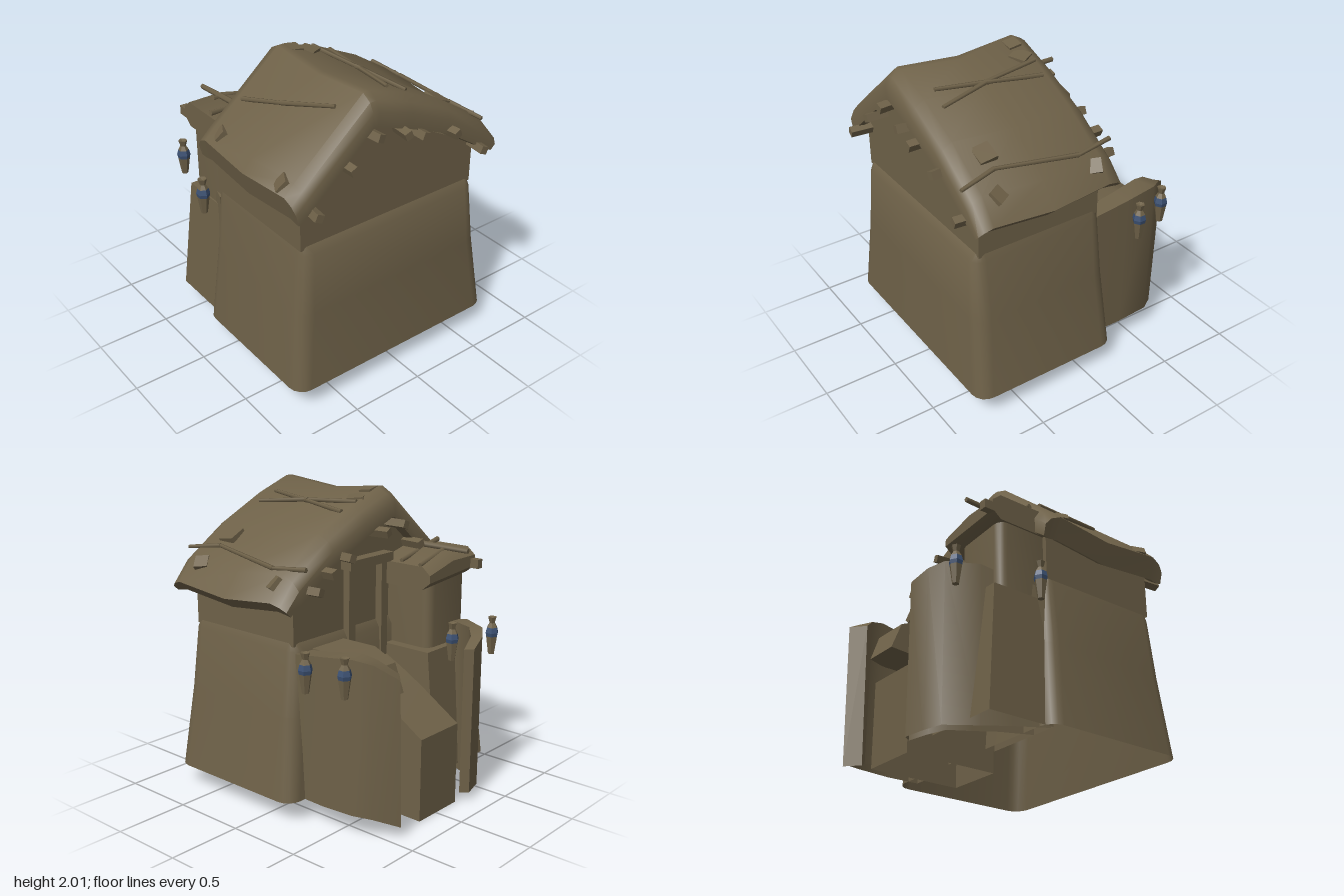
import * as THREE from 'three';
import { toCreasedNormals } from 'three/addons/utils/BufferGeometryUtils.js';

const clay = new THREE.MeshStandardMaterial({ color: 0x6e6148, side: THREE.DoubleSide });
clay.name = 'olive clay';
const blue = new THREE.MeshStandardMaterial({ color: 0x3c5173, side: THREE.DoubleSide });
blue.name = 'blue glaze';

// Skin rings of [x, y, z] points; caps pair each point with its opposite.
// An unclosed ring leaves out the face between its last and first point.
function loft(rings, { capped = true, closed = true, crease = 0.6 } = {}) {
  const n = rings[0].length, idx = [];
  const quad = (a, b, c, d) => idx.push(a, b, c, a, c, d);
  for (let r = 0; r < rings.length - 1; r++) {
    for (let i = 0; i < (closed ? n : n - 1); i++) {
      const j = (i + 1) % n;
      quad(r * n + i, r * n + j, (r + 1) * n + j, (r + 1) * n + i);
    }
  }
  if (capped) {
    const e = (rings.length - 1) * n;
    for (let i = 0; i < n / 2 - 1; i++) {
      quad(n - 1 - i, n - 2 - i, i + 1, i);
      quad(e + i, e + i + 1, e + n - 2 - i, e + n - 1 - i);
    }
  }
  // make the faces point outwards
  const p = rings.flat().map((q) => new THREE.Vector3(...q));
  const mid = p.reduce((s, q) => s.add(q), new THREE.Vector3()).divideScalar(p.length);
  let volume = 0;
  for (let i = 0; i < idx.length; i += 3) {
    const [a, b, c] = [0, 1, 2].map((k) => p[idx[i + k]].clone().sub(mid));
    volume += a.dot(b.cross(c));
  }
  if (volume < 0) idx.reverse();
  const g = new THREE.BufferGeometry().setFromPoints(p);
  g.setIndex(idx);
  return toCreasedNormals(g, crease);
}

function add(parent, name, geometry, material = clay) {
  const m = new THREE.Mesh(geometry, material);
  m.name = name;
  parent.add(m);
  return m;
}

function box(parent, name, x0, x1, y0, y1, z0, z1) {
  const m = add(parent, name, new THREE.BoxGeometry(x1 - x0, y1 - y0, z1 - z0));
  m.position.set((x0 + x1) / 2, (y0 + y1) / 2, (z0 + z1) / 2);
}

// Straight pole between two points.
function pole(parent, name, a, b, r = 0.016) {
  const p = new THREE.Vector3(...a), q = new THREE.Vector3(...b), d = q.clone().sub(p);
  const m = add(parent, name, new THREE.CylinderGeometry(r * 0.8, r, d.length(), 5));
  m.position.copy(p).add(q).multiplyScalar(0.5);
  m.quaternion.setFromUnitVectors(new THREE.Vector3(0, 1, 0), d.normalize());
}

// Horizontal ring of a rounded rectangle.
function roundRect(x0, x1, z0, z1, y, r) {
  const ring = [];
  [[x1 - r, z1 - r], [x0 + r, z1 - r], [x0 + r, z0 + r], [x1 - r, z0 + r]].forEach(([x, z], k) => {
    for (let i = 0; i <= 4; i++) {
      const a = (k + i / 4) * Math.PI / 2;
      ring.push([x + r * Math.cos(a), y, z + r * Math.sin(a)]);
    }
  });
  return ring;
}

// Curved wall, open below: stations of outer [x, z], inner [x, z], bottom, top, flare of the foot.
const wall = (stations) => loft(stations.map(([ox, oz, ix, iz, b, t, flare = 0]) => [
  [ox - flare, b, oz], [ox, t, oz], [ix, t, iz], [ix - flare, b, iz]]), { closed: false });

// Roof cross-section, upper and lower line
const roofTop = [[-0.81, 1.5], [-0.74, 1.57], [-0.26, 1.98], [-0.21, 1.98], [0.05, 1.89], [0.35, 1.75], [0.66, 1.55], [0.78, 1.4]];
const roofLow = [[-0.77, 1.35], [-0.7, 1.4], [-0.25, 1.79], [-0.22, 1.79], [0.02, 1.7], [0.33, 1.57], [0.62, 1.38], [0.71, 1.335]];
function roofAt(x) {
  let i = 0;
  while (i < roofTop.length - 2 && x > roofTop[i + 1][0]) i++;
  const [[x0, y0], [x1, y1]] = [roofTop[i], roofTop[i + 1]];
  const slope = (y1 - y0) / (x1 - x0);
  return { y: y0 + slope * (x - x0), angle: Math.atan(slope) };
}
const onRoof = (x, z, h = 0.02) => [x, roofAt(x).y + h, z];

function roofGeometry() {
  // z, lift, thinning of the upper and lower side at the rounded rims
  const sections = [[-0.23, 0, 0.4, 0.1], [-0.19, 0.01, 0.15, 0], [-0.12, 0.02, 0, 0], [0.28, -0.02, 0, 0],
    [0.7, 0.02, 0, 0], [0.76, 0.01, 0.15, 0], [0.79, 0, 0.4, 0.1]];
  return loft(sections.map(([z, lift, up, down]) => {
    const blend = (from, to, t) => from.map(([x, y], i) => [x + (to[i][0] - x) * t, y + (to[i][1] - y) * t + lift, z]);
    return [...blend(roofTop, roofLow, up), ...blend(roofLow, roofTop, down).reverse()];
  }), { crease: 0.75 });
}

function jar(parent, x, z) {
  const g = new THREE.Group();
  g.name = 'hangingJar';
  g.position.set(x, 0, z);
  const part = (name, pts, mat) => add(g, name, toCreasedNormals(
    new THREE.LatheGeometry(pts.map(([r, y]) => new THREE.Vector2(r, y)), 6), 0.3), mat);
  part('jarBody', [[0, 0.92], [0.022, 0.92], [0.04, 1.04]], clay);
  part('jarBand', [[0.04, 1.04], [0.045, 1.065], [0.036, 1.1]], blue);
  part('jarNeck', [[0.036, 1.1], [0.019, 1.13], [0.03, 1.17], [0, 1.16]], clay);
  parent.add(g);
}

export function createModel() {
  const model = new THREE.Group();
  model.name = 'clayHouse';

  // Tapered lower storey, open underneath
  add(model, 'lowerWalls', loft([
    roundRect(-0.81, 0.765, -0.24, 0.81, 0.14, 0.1),
    roundRect(-0.755, 0.69, -0.21, 0.77, 0.68, 0.1),
    roundRect(-0.715, 0.64, -0.19, 0.745, 1.09, 0.08),
    roundRect(-0.705, 0.625, -0.16, 0.71, 1.14, 0.04)], { capped: false, crease: 0.8 }));

  // Hollow upper storey with gables
  const gable = [[-0.71, 1.12], [-0.71, 1.43], [-0.23, 1.81], [0.02, 1.72], [0.625, 1.4], [0.625, 1.12]];
  add(model, 'upperWalls', loft([-0.16, 0.71].map((z) => gable.map(([x, y]) => [x, y, z])), { closed: false }));

  add(model, 'roof', roofGeometry());

  // Rafter ends under both rims
  const front = [[-0.67, 1.41], [-0.43, 1.62], [-0.25, 1.77], [-0.03, 1.72], [0.1, 1.67], [0.35, 1.6], [0.6, 1.41]];
  const back = [[-0.43, 1.62], [-0.26, 1.77], [-0.08, 1.74], [0.25, 1.63], [0.42, 1.56], [0.55, 1.47]];
  [[front, 0.78, 0.15], [back, -0.24, 0.16]].forEach(([list, z, len]) => list.forEach(([x, y], i) => {
    const b = add(model, 'rafterEnd', new THREE.BoxGeometry(0.05, 0.05, len));
    b.position.set(x, y, z);
    b.rotation.set(0, 0.1 * (i % 3 - 1), 0.4 * (i % 2 ? 1 : -1));
  }));

  // Sticks lying on the roof
  [[[-0.56, -0.08], [-0.48, 0.22], [-0.37, 0.59]], [[0, -0.12], [0.05, 0.25], [0.13, 0.62]], [[0.12, -0.1], [0.06, 0.25], [0, 0.6]],
    [[0.6, -0.25], [0.63, 0], [0.55, 0.55], [0.6, 0.8]]].forEach((path) => {
    for (let i = 1; i < path.length; i++) pole(model, 'roofStick', onRoof(...path[i - 1]), onRoof(...path[i]));
  });

  // Loose roof patches
  [[-0.74, -0.05, 0.08], [-0.18, -0.07, 0.09], [-0.07, -0.06, 0.11], [0.69, -0.07, 0.09],
    [0.45, 0.55, 0.12], [0.67, 0.6, 0.09], [-0.76, 0.61, 0.09]].forEach(([x, z, s], i) => {
    const p = add(model, 'roofPatch', new THREE.BoxGeometry(s, 0.035, s));
    p.position.set(...onRoof(x, z, 0.005));
    p.rotation.set(0.12, 0.5 * (i % 3 - 1), roofAt(x).angle + 0.15);
  });

  // Curved yard walls
  add(model, 'yardWallLeft', wall([
    [0.62, -0.17, 0.5, -0.17, 0.14, 1.08], [0.625, -0.4, 0.49, -0.4, 0.14, 1.11], [0.62, -0.63, 0.48, -0.58, 0.15, 1.14],
    [0.55, -0.73, 0.45, -0.68, 0.13, 1.11], [0.45, -0.85, 0.36, -0.77, 0.07, 1.02, 0.03]]));
  add(model, 'yardWallRight', wall([
    [-0.7, -0.17, -0.55, -0.17, 0.14, 1.05, 0.03], [-0.64, -0.4, -0.52, -0.4, 0.12, 1.08, 0.02], [-0.6, -0.58, -0.5, -0.56, 0.1, 1.12],
    [-0.5, -0.77, -0.45, -0.7, 0.09, 1.12], [-0.41, -0.83, -0.37, -0.77, 0.07, 1.09], [-0.28, -0.86, -0.24, -0.81, 0.06, 1.04]]));

  // Sloping entrance ramp, open underneath
  const ramp = [[-0.18, 0], [-0.18, 0.91], [-0.34, 0.83], [-0.5, 0.74], [-0.8, 0.55], [-0.8, 0]];
  add(model, 'entranceRamp', loft([-0.21, 0.17].map((x) => ramp.map(([z, y]) => [x, y, z])), { closed: false }));

  // Rounded shelter beside the ramp
  const shelter = [[-0.17, 1.09], [-0.45, 1.09], [-0.61, 1.02], [-0.68, 0.84], [-0.55, 0.83], [-0.17, 0.83]];
  add(model, 'sideShelter', loft([0.2, 0.49].map((x) => shelter.map(([z, y]) => [x, y, z]))));

  // Tapered base under the bay on the other side, open underneath
  const base = (x) => [[x - 0.06, 0.14, -0.17], [x, 0.97, -0.17], [x, 0.97, -0.55], [x - 0.06, 0.14, -0.63]];
  add(model, 'bayBase', loft([base(-0.69), base(-0.21).map(([, y, z]) => [-0.21, y, z])], { closed: false }));
  add(model, 'bayWalls', loft([0.95, 1.45].map((y) => roundRect(-0.68, -0.28, -0.5, -0.1, y, 0.06)), { capped: false, crease: 0.8 }));

  // Bay roof with poles
  const slab = (z, t) => [[-0.69, 1.54 + t, z], [-0.45, 1.54 + t, z], [-0.2, 1.48 + t, z],
    [-0.2, 1.43 - t, z], [-0.45, 1.45 - t, z], [-0.69, 1.47 - t, z]];
  add(model, 'bayRoof', loft([slab(-0.15, 0.05), slab(-0.5, 0.05), slab(-0.56, 0)], { crease: 0.8 }));
  pole(model, 'bayPole', [-0.48, 1.61, -0.18], [-0.51, 1.6, -0.63], 0.022);
  pole(model, 'bayPole', [-0.68, 1.61, -0.26], [-0.2, 1.55, -0.33], 0.018);
  pole(model, 'bayPole', [-0.55, 1.6, -0.44], [-0.2, 1.54, -0.48], 0.018);
  box(model, 'bayPeg', -0.69, -0.64, 1.46, 1.52, -0.62, -0.5);

  // Doorway frame
  box(model, 'doorPostLeft', 0.11, 0.17, 0.85, 1.55, -0.21, -0.14);
  box(model, 'doorPostRight', -0.21, -0.15, 0.85, 1.55, -0.21, -0.14);
  box(model, 'doorLintel', -0.23, 0.19, 1.53, 1.59, -0.24, -0.14);

  // Hanging jars
  [[-0.61, -0.77], [-0.32, -0.66], [-0.77, -0.26], [0.69, -0.63], [0.765, -0.39]].forEach(([x, z]) => jar(model, x, z));

  return model;
}
